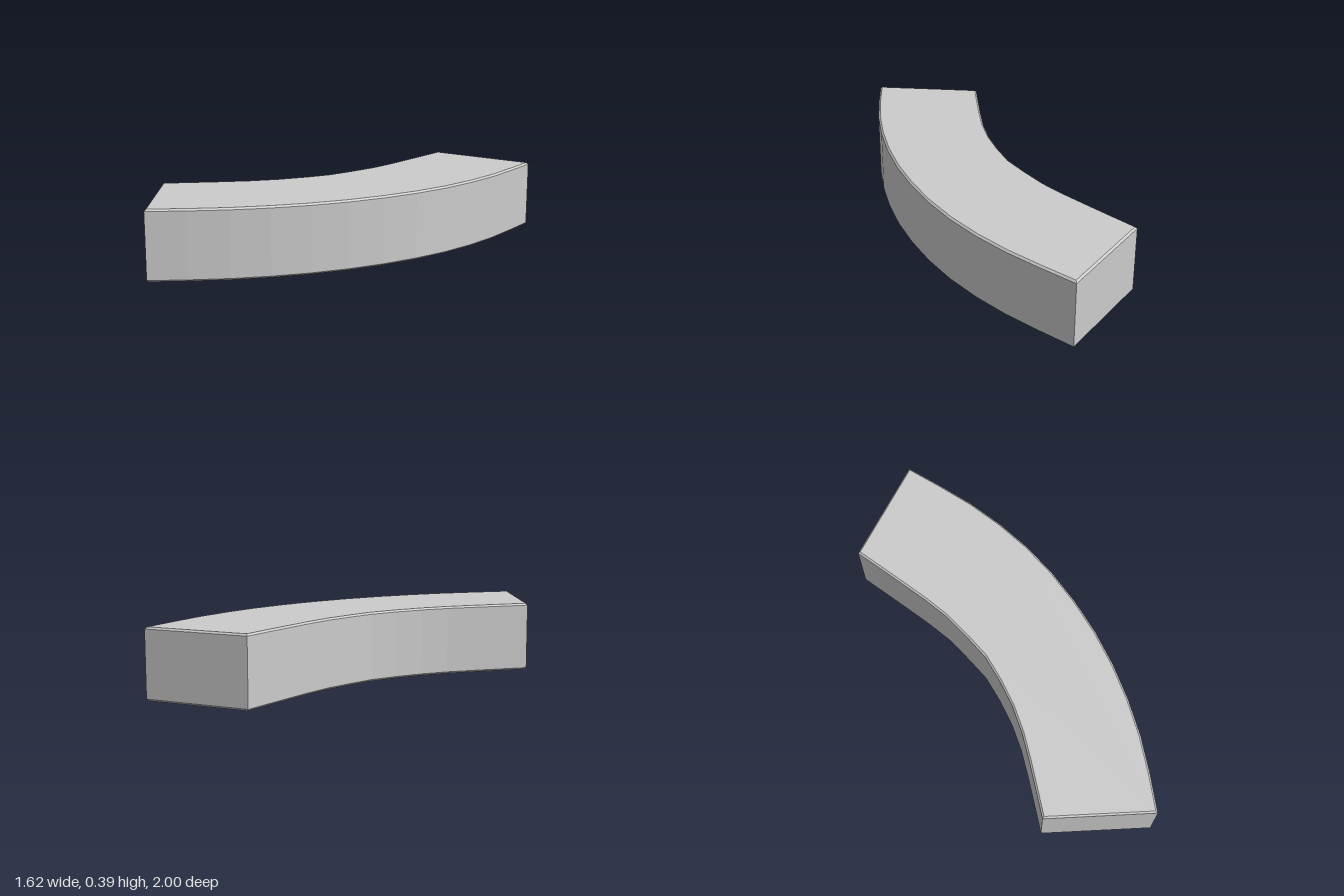
import * as THREE from 'three';

const THICKNESS = 0.373, BEVEL = 0.01, TILT = 0.006, SEGMENTS = 12;

// Smooth plan-view edge (x, z), divided into straight facets
function edge(points) {
  const curve = new THREE.SplineCurve(points.map(([x, z]) => new THREE.Vector2(x, -z)));
  return curve.getSpacedPoints(SEGMENTS);
}

export function createModel() {
  const group = new THREE.Group();
  group.name = 'curvedBench';

  // Plan outline: convex outer edge, then concave inner edge back again
  const outer = edge([[-0.575, 0.995], [-0.23, 0.79], [0.08, 0.54], [0.34, 0.25],
    [0.56, -0.1], [0.71, -0.49], [0.805, -0.94]]);
  const inner = edge([[0.22, -1], [0.13, -0.68], [0.06, -0.45], [0, -0.32],
    [-0.085, -0.15], [-0.19, -0.016], [-0.4, 0.186], [-0.81, 0.46]]);
  const outline = new THREE.Shape([...outer, ...inner]);

  // Solid block with a fine chamfer on its top and bottom rims
  const geometry = new THREE.ExtrudeGeometry(outline, {
    depth: THICKNESS - 2 * BEVEL,
    bevelEnabled: true, bevelSegments: 1,
    bevelSize: BEVEL, bevelThickness: BEVEL, bevelOffset: -BEVEL,
  });
  geometry.rotateX(-Math.PI / 2);
  geometry.translate(0, BEVEL + 0.0105, 0);

  // Slight lean: the front left-hand end sits a little higher
  const p = geometry.attributes.position;
  for (let i = 0; i < p.count; i++) {
    p.setY(i, p.getY(i) + TILT * (p.getZ(i) - p.getX(i)));
  }
  geometry.computeVertexNormals();

  const seat = new THREE.Mesh(geometry,
    new THREE.MeshStandardMaterial({ color: 0xcccccc, flatShading: true }));
  seat.name = 'seat';
  group.add(seat);
  return group;
}
